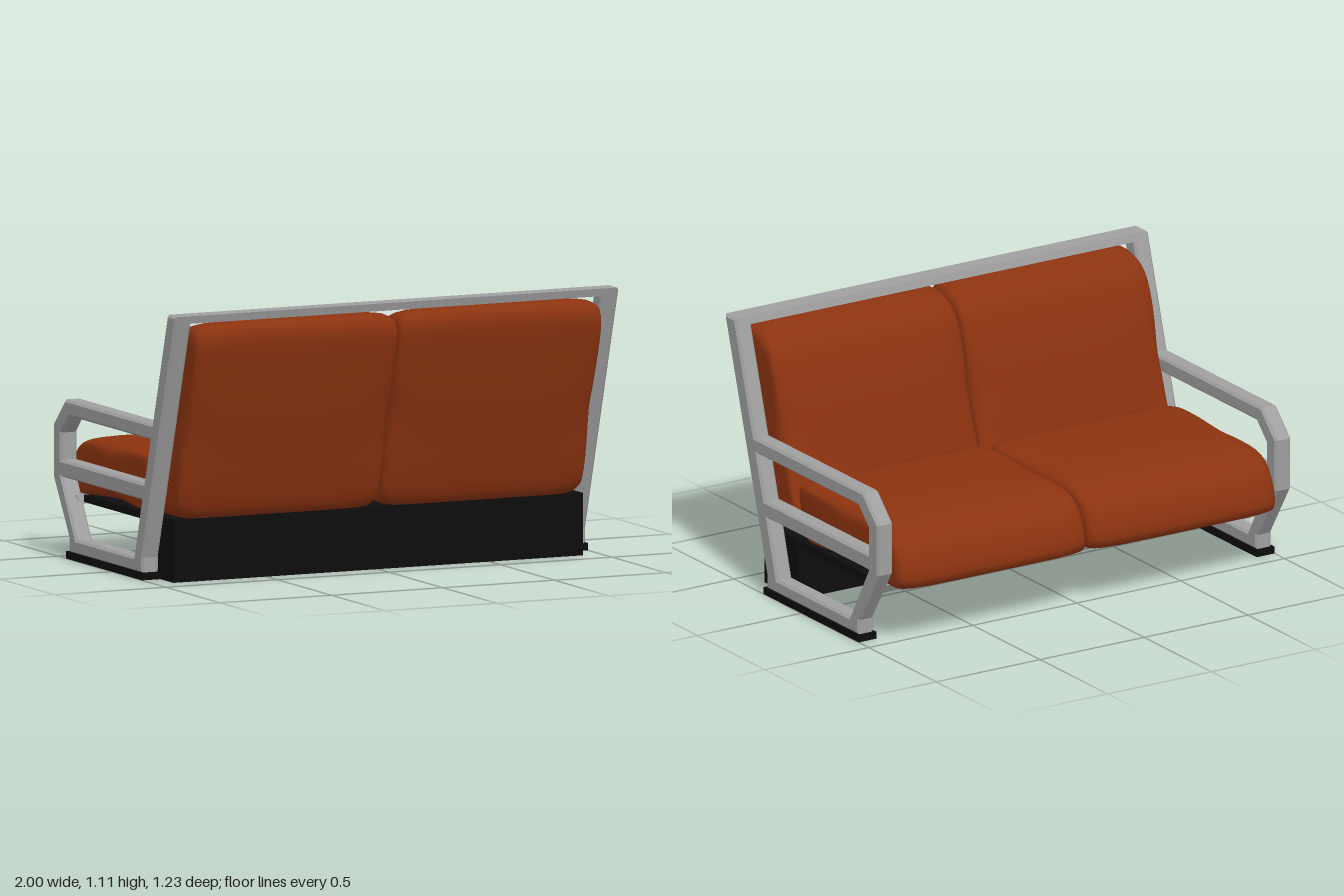
import * as THREE from 'three';

const orange = new THREE.MeshStandardMaterial({ color: 0x8c3310 });
orange.name = 'orange upholstery';
const grey = new THREE.MeshStandardMaterial({ color: 0xa0a0a0 });
grey.name = 'grey metal';
const black = new THREE.MeshStandardMaterial({ color: 0x0d0d0d });
black.name = 'black base';

function add(parent, name, geometry, material) {
  const mesh = new THREE.Mesh(geometry, material);
  mesh.name = name;
  parent.add(mesh);
  return mesh;
}

// Box given by its limits on each axis
function box(x0, x1, y0, y1, z0, z1) {
  return new THREE.BoxGeometry(x1 - x0, y1 - y0, z1 - z0)
    .translate((x0 + x1) / 2, (y0 + y1) / 2, (z0 + z1) / 2);
}

// Flat outline in (z, y), extruded with chamfers from x0 to x1
function sidePanel(outline, holes, x0, x1, bevel) {
  const toPoints = (list) => list.map(([z, y]) => new THREE.Vector2(z, y));
  const shape = new THREE.Shape(toPoints(outline));
  holes.forEach((h) => shape.holes.push(new THREE.Path(toPoints(h))));
  return new THREE.ExtrudeGeometry(shape, {
    depth: x1 - x0 - 2 * bevel, bevelEnabled: true, bevelSize: bevel,
    bevelThickness: bevel, bevelOffset: -bevel, bevelSegments: 1,
  }).rotateY(-Math.PI / 2).translate(x1 - bevel, 0, 0);
}

// Padded cushion: one (z, y) profile swept across x, drawn in towards both ends
function cushion(profile, halfWidth) {
  const n = 56;
  const curve = new THREE.CatmullRomCurve3(
    profile.map(([z, y]) => new THREE.Vector3(0, y, z)), true, 'centripetal');
  const ring = curve.getSpacedPoints(n).slice(0, n);
  const centre = ring.reduce((s, p) => s.add(p), new THREE.Vector3()).divideScalar(n);

  // [position across the half width, inset]; an inset of 1 closes the end
  const half = [[1, 1], [1, 0.1], [0.998, 0.06], [0.985, 0.038], [0.96, 0.024],
    [0.91, 0.013], [0.82, 0.006], [0.65, 0.001], [0.3, 0]];
  const stations = [
    ...half.map(([u, d]) => [-u, d]),
    ...half.slice().reverse(),
  ];
  const positions = [];
  const index = [];
  stations.forEach(([u, inset], i) => {
    ring.forEach((p, j) => {
      const offset = p.clone().sub(centre);
      const r = offset.length();
      const q = offset.multiplyScalar(Math.max(0, r - inset) / r).add(centre);
      positions.push(u * halfWidth, q.y, q.z);
      if (i < stations.length - 1) {
        const a = i * n + j;
        const c = i * n + (j + 1) % n;
        index.push(a, a + n, c, c, a + n, c + n);
      }
    });
  });
  const geometry = new THREE.BufferGeometry();
  geometry.setAttribute('position', new THREE.Float32BufferAttribute(positions, 3));
  geometry.setIndex(index);
  geometry.computeVertexNormals();
  return geometry;
}

export function createModel() {
  const model = new THREE.Group();
  model.name = 'twoSeatBench';

  // Side frames: raked post, armrest, middle rail, front leg and bottom rail
  const outline = [[0.58, 1.11], [0.27, 0.09], [0.27, 0.025], [-0.415, 0.025],
    [-0.415, 0.09], [-0.56, 0.32], [-0.56, 0.535], [-0.45, 0.645],
    [0.359, 0.645], [0.5, 1.11]];
  const upperHole = [[0.339, 0.58], [-0.41, 0.58], [-0.485, 0.505],
    [-0.485, 0.395], [0.283, 0.395]];
  const lowerHole = [[0.261, 0.325], [-0.485, 0.325], [-0.345, 0.085], [0.19, 0.085]];
  for (const [side, x0, x1] of [['left', 0.92, 0.995], ['right', -0.995, -0.92]]) {
    add(model, side + 'SideFrame',
      sidePanel(outline, [upperHole, lowerHole], x0, x1, 0.01), grey);
    const edge = side === 'left' ? 0.915 : -1;
    add(model, side + 'Foot', box(edge, edge + 0.085, 0, 0.03, -0.425, 0.28), black);
  }

  // Cross bars joining the two frames
  const topBar = [[0.58, 1.11], [0.571, 1.078], [0.491, 1.078], [0.5, 1.11]];
  add(model, 'topBar', sidePanel(topBar, [], -0.95, 0.95, 0.005), grey);
  const frontBar = [[-0.435, 0.255], [-0.515, 0.255], [-0.493, 0.218], [-0.425, 0.218]];
  add(model, 'frontBar', sidePanel(frontBar, [], -0.95, 0.95, 0.004), grey);

  // Base box and seat plate
  add(model, 'baseBox', box(-0.918, 0.918, 0, 0.255, 0.15, 0.4), black);
  add(model, 'seatPlate', box(-0.918, 0.918, 0.225, 0.255, -0.43, 0.15), black);

  // Cushions, one pair for each seat
  const seatProfile = [[0.2, 0.465], [0.175, 0.487], [0.08, 0.497], [-0.1, 0.5],
    [-0.33, 0.496], [-0.48, 0.477], [-0.555, 0.435], [-0.6, 0.35], [-0.615, 0.275],
    [-0.602, 0.248], [-0.54, 0.238], [-0.4, 0.247], [-0.1, 0.252], [0.13, 0.252],
    [0.16, 0.275], [0.185, 0.38]];
  const backProfile = [[0.617, 1.03], [0.602, 1.06], [0.55, 1.073], [0.47, 1.065],
    [0.395, 1.03], [0.345, 0.955], [0.3, 0.83], [0.25, 0.65], [0.2, 0.45],
    [0.157, 0.285], [0.17, 0.255], [0.28, 0.247], [0.4, 0.253], [0.425, 0.285],
    [0.5, 0.53], [0.575, 0.81]];
  const seat = cushion(seatProfile, 0.454);
  const back = cushion(backProfile, 0.454);
  for (const [side, x] of [['left', 0.457], ['right', -0.457]]) {
    add(model, side + 'SeatCushion', seat, orange).position.x = x;
    add(model, side + 'BackCushion', back, orange).position.x = x;
  }
  return model;
}
